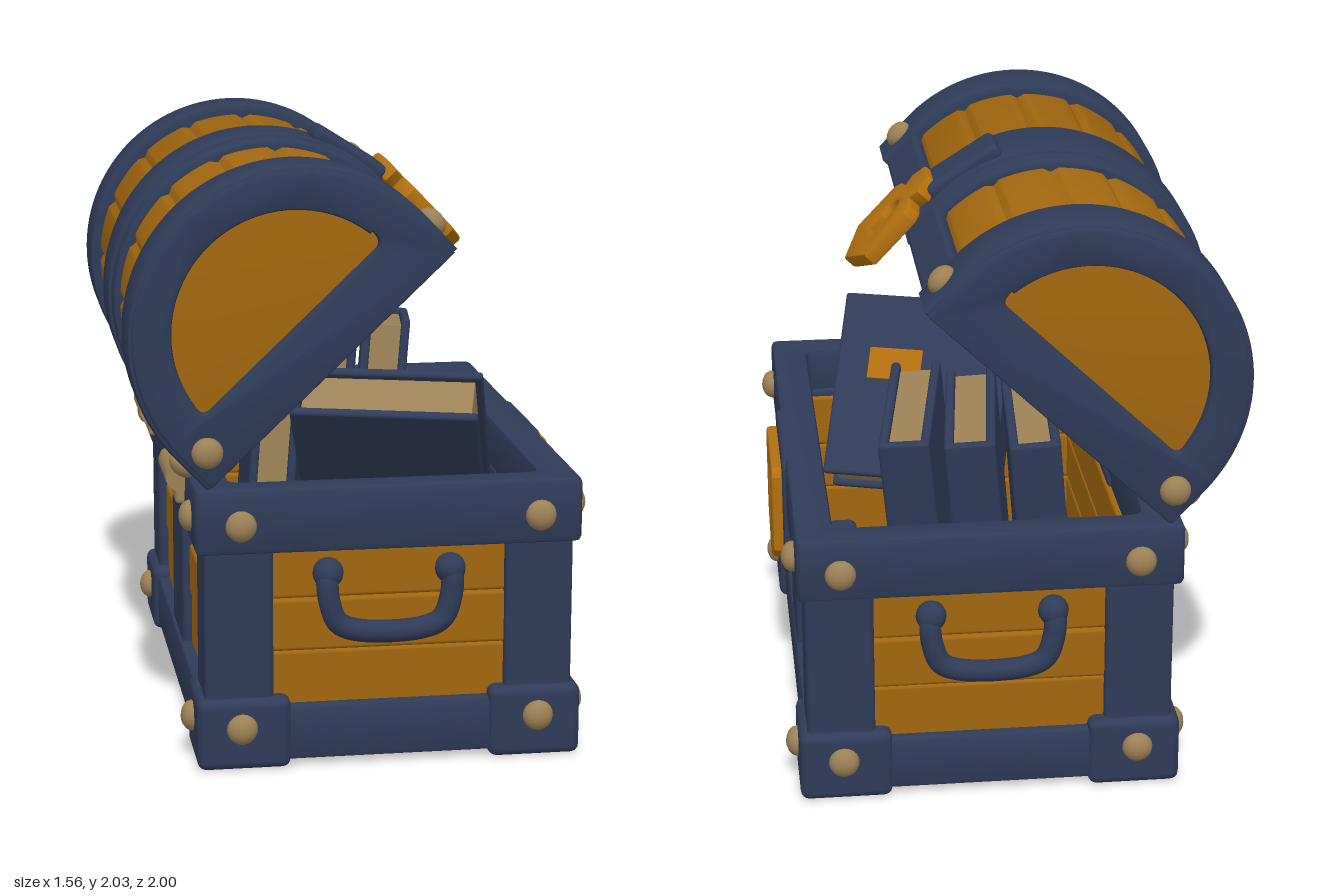
import * as THREE from 'three';
import { toCreasedNormals } from 'three/addons/utils/BufferGeometryUtils.js';
import { RoundedBoxGeometry } from 'three/addons/geometries/RoundedBoxGeometry.js';

const mat = (name, color) => new THREE.MeshStandardMaterial({ name, color });

export function createModel() {
  const navy = mat('navy iron', 0x2f3b58), wood = mat('plank wood', 0xa1670f);
  const gold = mat('lock gold', 0xb2700f), tan = mat('aged tan', 0x9c8156);
  const model = new THREE.Group();
  model.name = 'treasureChest';

  const group = (name, parent) => {
    const g = new THREE.Group();
    g.name = name;
    parent.add(g);
    return g;
  };
  const add = (parent, name, geo, material, x = 0, y = 0, z = 0) => {
    const m = new THREE.Mesh(geo, material);
    m.name = name;
    m.position.set(x, y, z);
    parent.add(m);
    return m;
  };
  // Rounded box given by its limits on each axis
  const box = (parent, name, material, x0, x1, y0, y1, z0, z1, r = 0.02) =>
    add(parent, name, new RoundedBoxGeometry(x1 - x0, y1 - y0, z1 - z0, 2, r), material,
      (x0 + x1) / 2, (y0 + y1) / 2, (z0 + z1) / 2);
  // Bevelled extrusion between two depths
  const extrude = (shape, z0, z1, b = 0.015) => {
    const g = new THREE.ExtrudeGeometry(shape, {
      depth: z1 - z0 - 2 * b, bevelThickness: b, bevelSize: b, bevelOffset: -b,
      bevelSegments: 2, curveSegments: 16,
    });
    g.translate(0, 0, z0 + b);
    return toCreasedNormals(g, 0.6);
  };
  const rect = (Type, x0, x1, y0, y1, r) => {
    const s = new Type();
    s.moveTo(x0 + r, y0).lineTo(x1 - r, y0).quadraticCurveTo(x1, y0, x1, y0 + r);
    s.lineTo(x1, y1 - r).quadraticCurveTo(x1, y1, x1 - r, y1);
    s.lineTo(x0 + r, y1).quadraticCurveTo(x0, y1, x0, y1 - r);
    s.lineTo(x0, y0 + r).quadraticCurveTo(x0, y0, x0 + r, y0);
    return s;
  };
  // Domed rivet facing along a direction
  const rivetGeo = new THREE.SphereGeometry(0.052, 14, 10);
  const rivet = (parent, x, y, z, dx, dz) => {
    const m = add(parent, 'rivet', rivetGeo, tan, x, y, z);
    m.scale.set(dx ? 0.75 : 1, 1, dz ? 0.75 : 1);
  };
  const keyhole = (y, r, bottom, w) => {
    const p = new THREE.Path();
    p.absarc(0, y, r, -Math.PI / 3, Math.PI * 4 / 3, false);
    p.lineTo(-w, bottom).lineTo(w, bottom).closePath();
    return p;
  };
  const shield = (w, top, low, tip) => new THREE.Shape([
    [w - 0.03, top], [-w + 0.03, top], [-w, top - 0.03], [-w, low], [-w * 0.75, low - (low - tip) * 0.4],
    [0, tip], [w * 0.75, low - (low - tip) * 0.4], [w, low], [w, top - 0.03],
  ].map(([x, y]) => new THREE.Vector2(x, y)));

  // ---- Base ----
  const base = group('base', model);
  const ring = (name, y0, y1, o, i) => {
    const s = rect(THREE.Shape, o[0], o[1], -o[2], o[2], 0.03);
    s.holes.push(rect(THREE.Path, i[0], i[1], -i[2], i[2], 0.05));
    add(base, name, extrude(s, y0, y1, 0.02), navy).rotation.x = -Math.PI / 2;
  };
  ring('topRim', 0.74, 0.96, [-0.56, 0.735, 0.955], [-0.43, 0.605, 0.83]);
  ring('bottomRim', 0.02, 0.21, [-0.54, 0.715, 0.94], [-0.32, 0.5, 0.7]);
  box(base, 'bottomStrap', navy, -0.4, 0.6, 0.025, 0.1, -0.18, 0.18);
  box(base, 'floor', wood, -0.45, 0.62, 0.05, 0.15, -0.85, 0.85);

  // Plank walls
  const rows = [0.19, 0.39, 0.57, 0.77];
  for (let i = 0; i < 3; i++) {
    const e = i === 1 ? 0.006 : 0, y0 = rows[i], y1 = rows[i + 1];
    for (const s of [-1, 1]) {
      const f = 0.09 + s * (0.585 + e), k = 0.09 + s * 0.5;
      box(base, 'longPlank', wood, Math.min(f, k), Math.max(f, k), y0, y1, -0.85, 0.85, 0.014);
      box(base, 'endPlank', wood, -0.45, 0.63, y0, y1, s > 0 ? 0.81 : -0.9 - e, s > 0 ? 0.9 + e : -0.81, 0.014);
    }
  }
  for (const sx of [-1, 1]) {
    const px = (d) => 0.09 + sx * d;
    const span = (a, b) => [Math.min(px(a), px(b)), Math.max(px(a), px(b))];
    box(base, 'middlePost', navy, ...span(0.51, 0.617), 0.1, 0.8, -0.178, 0.178);
    for (const sz of [-1, 1]) {
      const zs = (a, b) => sz > 0 ? [a, b] : [-b, -a];
      // Angle-iron posts and corner shoes
      box(base, 'cornerPost', navy, ...span(0.51, 0.62), 0.1, 0.8, ...zs(0.69, 0.93));
      box(base, 'cornerPost', navy, ...span(0.39, 0.62), 0.1, 0.8, ...zs(0.82, 0.932));
      box(base, 'cornerShoe', navy, ...span(0.335, 0.648), 0, 0.245, ...zs(0.645, 0.96), 0.03);
      for (const y of [0.145, 0.84]) {
        rivet(base, px(0.5), y, sz * 0.96, 0, 1);
        rivet(base, px(0.65), y, sz * 0.79, 1, 0);
      }
    }
  }

  // Carrying handles
  for (const s of [-1, 1]) {
    const h = group('handle', base);
    const pts = [[-0.12, 0.66, 0.9], [-0.125, 0.655, 0.945], [-0.12, 0.58, 0.957], [-0.09, 0.5, 0.957], [-0.02, 0.47, 0.957],
      [0.19, 0.47, 0.957], [0.26, 0.5, 0.957], [0.29, 0.58, 0.957], [0.295, 0.655, 0.945], [0.29, 0.66, 0.9]];
    const curve = new THREE.CatmullRomCurve3(pts.map(([x, y, z]) => new THREE.Vector3(x, y, z * s)), false, 'centripetal');
    add(h, 'handleBar', new THREE.TubeGeometry(curve, 60, 0.038, 10), navy);
    for (const x of [-0.12, 0.29]) add(h, 'handleKnob', new THREE.SphereGeometry(0.052, 14, 10), navy, x, 0.665, s * 0.935);
  }

  // Front lock
  const lock = group('lock', base);
  lock.rotation.y = Math.PI / 2;
  add(lock, 'lockBacking', extrude(shield(0.262, 0.955, 0.56, 0.42), 0.64, 0.748), navy);
  const plate = shield(0.22, 0.91, 0.6, 0.48);
  plate.holes.push(keyhole(0.77, 0.058, 0.62, 0.048));
  add(lock, 'lockPlate', extrude(plate, 0.735, 0.785, 0.012), gold);

  // Rear hinges
  for (const s of [-1, 1]) {
    const pin = add(base, 'hingePin', new THREE.CylinderGeometry(0.05, 0.05, 0.26, 14), tan, -0.575, 0.93, s * 0.5);
    pin.rotation.x = Math.PI / 2;
    box(base, 'hingeLeaf', tan, -0.59, -0.54, 0.83, 0.94, s * 0.5 - 0.11, s * 0.5 + 0.11, 0.015);
  }

  // ---- Lid, drawn closed and then tilted open ----
  const lid = group('lid', model);
  lid.position.set(-0.105, 1.345, 0);
  lid.rotation.z = 0.76;
  const stilt = 0.15;
  // Arch outline, with optional plank grooves
  const arch = (a, grooves = 0) => {
    const pts = [[a, 0]], n = 64;
    for (let i = 0; i <= n; i++) {
      const r = grooves && i % (n / grooves) === 0 ? a - 0.014 : a, t = Math.PI * i / n;
      pts.push([r * Math.cos(t), stilt + r * Math.sin(t)]);
    }
    pts.push([-a, 0]);
    return pts.map(([x, y]) => new THREE.Vector2(x, y));
  };
  const band = (name, material, outer, inner, z0, z1, grooves = 0, b = 0.012) =>
    add(lid, name, extrude(new THREE.Shape([...arch(outer, grooves), ...arch(inner).reverse()]), z0, z1, b), material);
  band('barrelPlanks', wood, 0.527, 0.45, -0.84, 0.84, 8, 0.004);
  band('middleBand', navy, 0.55, 0.48, -0.215, 0.215);
  band('middleBandRidge', navy, 0.562, 0.5, -0.115, 0.115);
  for (const s of [-1, 1]) {
    const u0 = s > 0 ? 0.425 : -0.555, u1 = s > 0 ? 0.555 : -0.425;
    box(lid, 'lidRim', navy, u0, u1, 0, 0.155, -0.9, 0.9);
    const z = (a, b) => s > 0 ? [a, b] : [-b, -a];
    band('endBand', navy, 0.565, 0.46, ...z(0.72, 0.945), 0, 0.02);
    // End cap with a recessed wooden window
    const cap = new THREE.Shape(arch(0.55)), win = new THREE.Path();
    win.moveTo(-0.37, 0.19).lineTo(0.37, 0.19).quadraticCurveTo(0.41, 0.19, 0.405, 0.24);
    win.absarc(0, 0.18, 0.4, 0.15, Math.PI - 0.15, false);
    win.quadraticCurveTo(-0.41, 0.19, -0.37, 0.19);
    cap.holes.push(win);
    add(lid, 'endCap', extrude(cap, ...z(0.84, 0.955), 0.015), navy);
    add(lid, 'endPanel', extrude(new THREE.Shape(arch(0.5)), ...z(0.85, 0.92), 0.01), wood);
    add(lid, 'endLining', extrude(new THREE.Shape(arch(0.46)), ...z(0.82, 0.848), 0.005), tan);
    rivet(lid, -0.475, 0.1, s * 0.96, 0, 1);
    for (const d of [-1, 1]) rivet(lid, d * 0.568, 0.1, s * 0.83, 1, 0);
  }
  // Hasp hanging from the lid
  const leaf = box(lid, 'haspLeaf', navy, -0.03, 0.03, -0.15, 0.15, -0.09, 0.09, 0.025);
  leaf.position.set(0.545, 0.29, 0);
  leaf.rotation.z = 0.25;
  const hasp = new THREE.Shape([[0.13, 0.09], [0.07, 0.1], [0.1, 0.14], [0.06, 0.2], [-0.06, 0.2], [-0.1, 0.14], [-0.07, 0.1],
    [-0.13, 0.09], [-0.16, 0.06], [-0.16, -0.14], [0, -0.225], [0.16, -0.14], [0.16, 0.06]]
    .map(([x, y]) => new THREE.Vector2(x, y)));
  hasp.holes.push(keyhole(0.01, 0.042, -0.09, 0.03));
  add(lid, 'haspPlate', extrude(hasp, 0.565, 0.625, 0.012), gold).rotation.y = Math.PI / 2;

  // ---- Books: spine at local -x, covers on local z ----
  const book = (w, h, t, pos, rot) => {
    const g = group('book', model);
    g.position.set(...pos);
    g.rotation.set(...rot, 'YXZ');
    box(g, 'pages', tan, -w / 2 + 0.02, w / 2 - 0.025, -h / 2 + 0.025, h / 2 - 0.025, -t / 2 + 0.01, t / 2 - 0.01, 0.005);
    for (const s of [-1, 1]) {
      const c = s * (t / 2 - 0.015);
      box(g, 'cover', navy, -w / 2, w / 2, -h / 2, h / 2, c - 0.016, c + 0.016, 0.012);
    }
    box(g, 'spine', navy, -w / 2, -w / 2 + 0.035, -h / 2, h / 2, -t / 2, t / 2, 0.012);
    return g;
  };
  const leaning = book(0.64, 0.7, 0.21, [0.19, 0.92, 0.41], [0.66, -0.3, 0]);
  box(leaning, 'coverOrnament', gold, 0.0, 0.2, 0.02, 0.14, -0.113, -0.104, 0.003);
  for (let i = 0; i < 3; i++) {
    book(0.6, 0.75, 0.17, [0.28 - i * 0.2, 0.885 - i * 0.012, -0.45 - i * 0.03], [-0.08, -Math.PI / 2 - 0.17 + i * 0.05, 0.12 - i * 0.03]);
  }
  return model;
}
